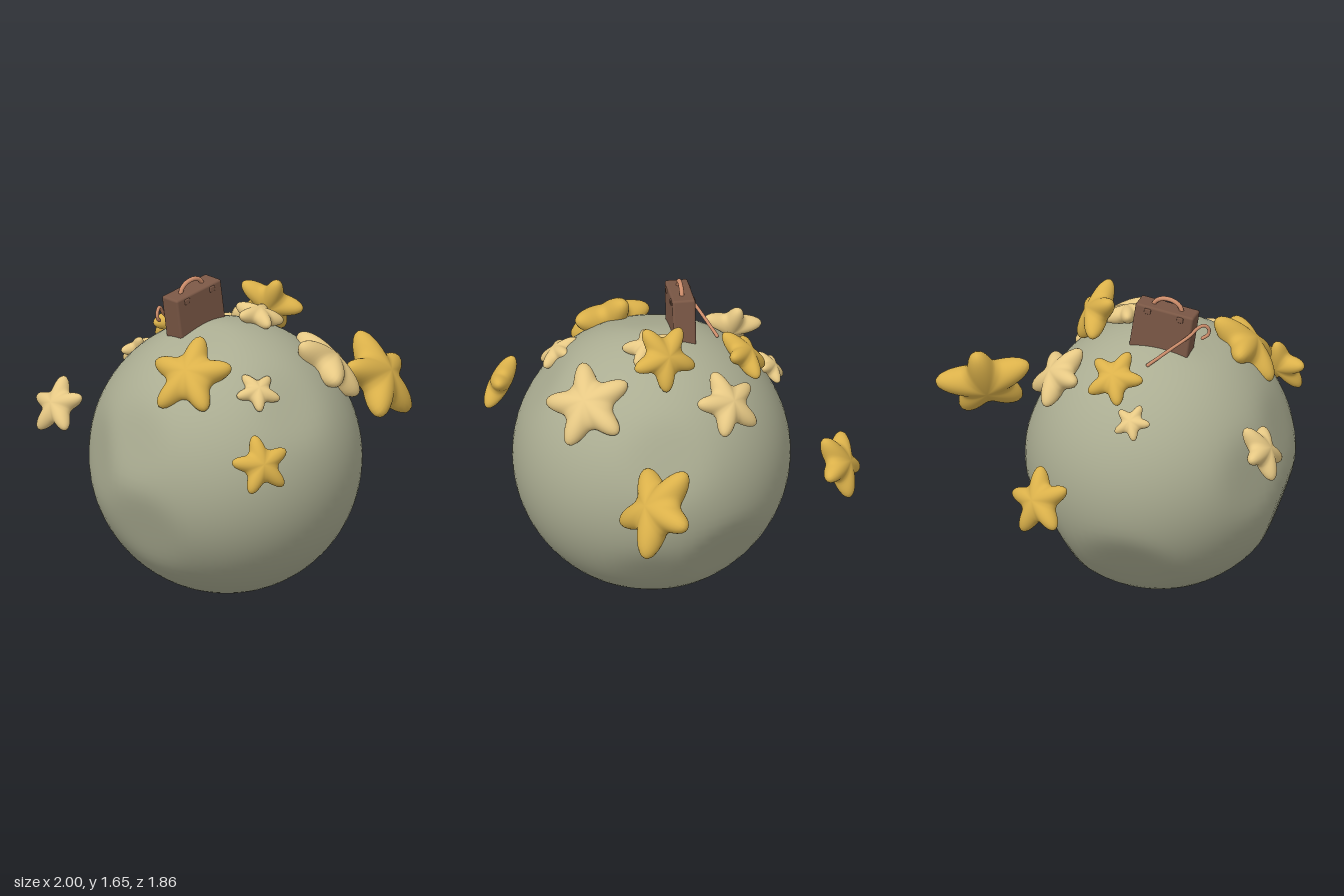
import * as THREE from 'three';
import { mergeVertices } from 'three/addons/utils/BufferGeometryUtils.js';
import { RoundedBoxGeometry } from 'three/addons/geometries/RoundedBoxGeometry.js';

const V = (a) => new THREE.Vector3(...a);
const material = (color) => new THREE.MeshStandardMaterial({ color, roughness: 0.8 });
const GOLD = material(0xdbb14a), PALE = material(0xe6c884), STONE = material(0xabad92);
const LEATHER = material(0x7a5745), COPPER = material(0xcc8c6a);

function add(parent, name, geometry, mat) {
  const mesh = new THREE.Mesh(geometry, mat);
  mesh.name = name;
  parent.add(mesh);
  return mesh;
}

// Moves every vertex of a unit sphere by a rule, keeping the result smooth and seamless
function shapedSphere(w, h, rule) {
  let geo = new THREE.SphereGeometry(1, w, h);
  geo.deleteAttribute('uv');
  geo.deleteAttribute('normal');
  geo = mergeVertices(geo, 1e-5);
  const pos = geo.attributes.position, v = new THREE.Vector3();
  for (let i = 0; i < pos.count; i++) {
    rule(v.fromBufferAttribute(pos, i));
    pos.setXYZ(i, v.x, v.y, v.z);
  }
  geo.computeVertexNormals();
  return geo;
}

// Sphere with softly flattened patches: direction, distance from centre
const FLATS = [
  [[0.9, 0.4, 0], 0.69], [[0.75, -0.5, -0.45], 0.675], [[0.8, -0.58, 0.1], 0.695],
  [[-0.95, 0.3, 0], 0.69], [[-0.9, 0.1, -0.45], 0.685], [[-0.94, -0.34, 0.1], 0.685],
  [[0.2, -0.97, 0.1], 0.7], [[0, -0.63, -0.78], 0.67], [[-0.1, 0.6, 0.8], 0.695],
  [[-0.3, 0.95, 0], 0.695],
].map(([n, d]) => [V(n).normalize(), d]);

function planetGeometry() {
  const p = 60;
  return shapedSphere(72, 48, (v) => {
    let sum = Math.pow(0.714, -p);
    for (const [n, d] of FLATS) {
      const c = v.dot(n);
      if (c > 0) sum += Math.pow(c / d, p);
    }
    v.multiplyScalar(Math.pow(sum, -1 / p));
    v.x *= 0.97;
  });
}

// Puffy five-pointed star, one tip along +x, flat axis along y
function starGeometry() {
  return shapedSphere(80, 20, (v) => {
    const a = Math.atan2(v.z, v.x);
    const r = 0.58 + 0.42 * Math.pow((1 + Math.cos(5 * a)) / 2, 1.5);
    v.set(v.x * r, v.y * 0.35, v.z * r);
  });
}

// Stars: centre, direction of one tip, facing direction, radius, material
const STARS = [
  [[0.765, 0.92, 0.21], [0, 0.216, -0.157], [0.35, 0.55, 0.76], 0.258, GOLD],
  [[-0.915, 1.015, -0.4], [0, 0.1, -1], [-0.85, 0.53, -0.03], 0.16, PALE],
  [[-0.615, 1.275, 0.275], [0, 0, -1], [-0.69, 0.68, 0.22], 0.225, GOLD],
  [[-0.41, 1.215, 0.56], [-0.1, 0.5, -0.7], [-0.2, 0.8, 0.57], 0.12, PALE],
  [[-0.635, 0.94, 0.825], [0.015, 0.14, -0.08], [-0.35, 0.4, 0.85], 0.158, GOLD],
  [[-0.02, 1.43, 0.15], [-0.135, 0.02, 0], [0.2, 0.95, 0.2], 0.135, PALE],
  [[0.125, 1.45, 0.085], [-0.04, 0.15, 0.1], [0.77, 0.45, -0.33], 0.18, GOLD],
  [[0.144, 1.21, 0.48], [0, 0.11, -0.19], [0.59, 0.7, 0.4], 0.232, PALE],
  [[0.235, 1.21, -0.23], [0.055, 0.04, 0.17], [0.6, 0.67, -0.44], 0.183, PALE],
  [[-0.11, 1.3, -0.36], [-1, 0, 0], [0.1, 0.7, -0.7], 0.155, GOLD],
  [[-0.25, 1.135, -0.515], [-1, 0, 0], [0.1, 0.65, -0.75], 0.1, PALE],
  [[0.15, 0.77, -0.82], [0.165, 0, 0.08], [0.4, 0.4, -0.82], 0.183, GOLD],
];

export function createModel() {
  const model = new THREE.Group();
  model.name = 'starPlanet';

  add(model, 'planet', planetGeometry(), STONE).position.set(-0.21, 0.708, 0.105);

  // Stars scattered on and around the planet
  const star = starGeometry();
  for (const [centre, tip, facing, radius, mat] of STARS) {
    const n = V(facing).normalize();
    const x = V(tip).projectOnPlane(n).normalize();
    const mesh = add(model, 'star', star, mat);
    mesh.quaternion.setFromRotationMatrix(
      new THREE.Matrix4().makeBasis(x, n, new THREE.Vector3().crossVectors(x, n)));
    mesh.position.set(...centre);
    mesh.scale.setScalar(radius);
  }

  // Suitcase tilted on top of the planet
  const suitcase = new THREE.Group();
  suitcase.name = 'suitcase';
  suitcase.position.set(-0.28, 1.465, -0.055);
  suitcase.rotation.z = 0.15;
  model.add(suitcase);
  add(suitcase, 'case', new RoundedBoxGeometry(0.315, 0.265, 0.118, 3, 0.012), LEATHER);
  for (const s of [-1, 1]) {
    add(suitcase, 'buckle', new RoundedBoxGeometry(0.035, 0.03, 0.13, 2, 0.006), LEATHER)
      .position.set(s * 0.088, 0.105, 0);
  }
  const handle = new THREE.CatmullRomCurve3([
    [-0.078, 0.12, 0], [-0.066, 0.148, 0], [-0.038, 0.168, 0], [0, 0.175, 0],
    [0.038, 0.168, 0], [0.066, 0.148, 0], [0.078, 0.12, 0],
  ].map(V));
  add(suitcase, 'handle', new THREE.TubeGeometry(handle, 32, 0.012, 10), COPPER);

  // Walking cane with a hooked end leaning behind the suitcase
  const cane = new THREE.CatmullRomCurve3([
    [-0.25, 1.34, -0.24], [-0.345, 1.41, -0.18], [-0.44, 1.48, -0.12], [-0.475, 1.518, -0.098],
    [-0.505, 1.528, -0.08], [-0.525, 1.505, -0.07], [-0.52, 1.475, -0.07], [-0.495, 1.458, -0.085],
  ].map(V));
  add(model, 'cane', new THREE.TubeGeometry(cane, 64, 0.009, 10), COPPER);
  for (const t of [0, 1]) {
    add(model, 'caneEnd', new THREE.SphereGeometry(0.0095, 12, 8), COPPER)
      .position.copy(cane.getPoint(t));
  }

  return model;
}
